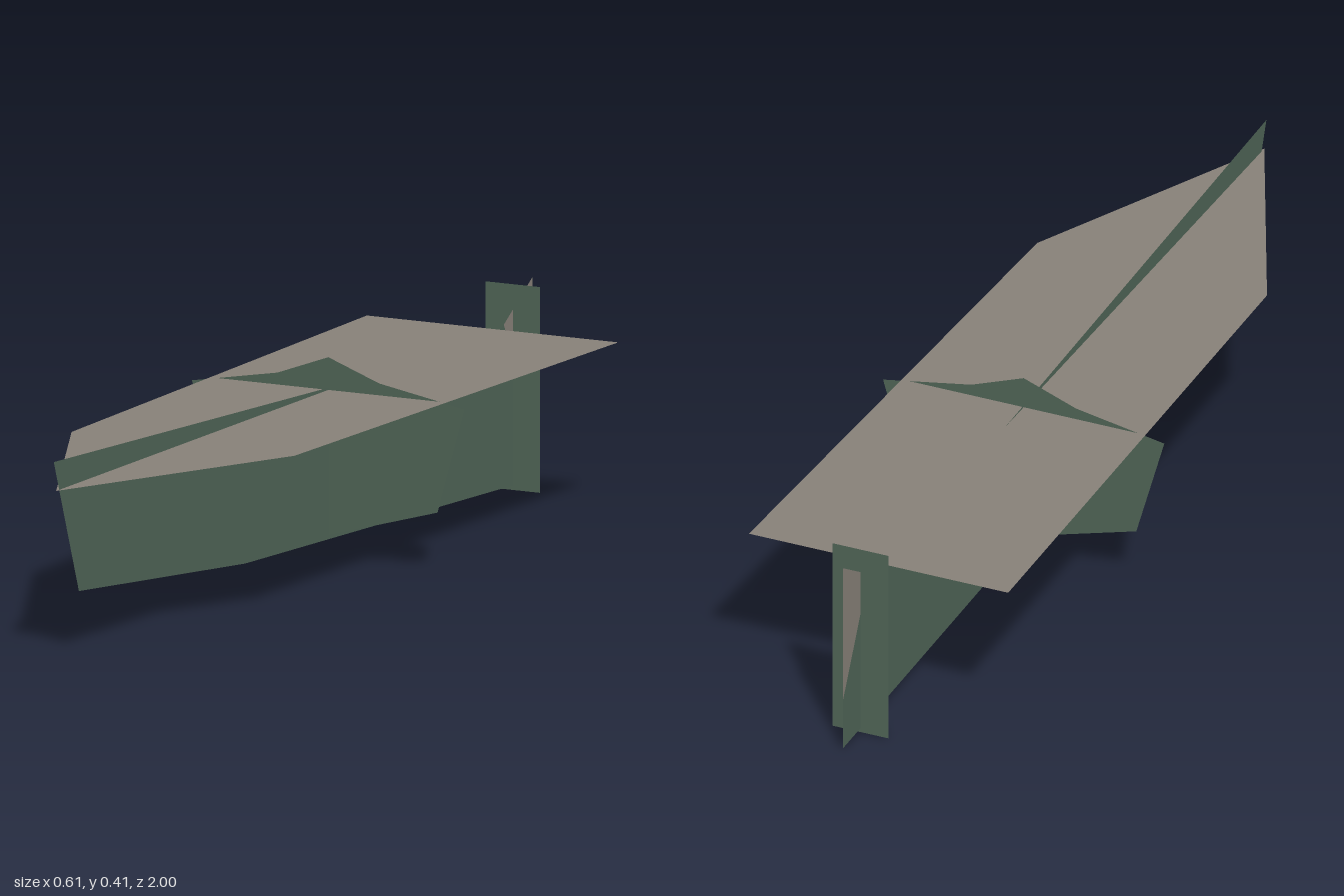
import * as THREE from 'three';

const hullGreen = new THREE.MeshStandardMaterial({ color: 0x50655a, side: THREE.DoubleSide });
hullGreen.name = 'hull green';
hullGreen.color.set(0x4f6456);
const deckTaupe = new THREE.MeshStandardMaterial({ color: 0x878078, side: THREE.DoubleSide });
deckTaupe.name = 'deck taupe';

// Flat sheet cut from an outline of [u, v] points
function sheet(name, points, material) {
  const shape = new THREE.Shape(points.map(([u, v]) => new THREE.Vector2(u, v)));
  const mesh = new THREE.Mesh(new THREE.ShapeGeometry(shape), material);
  mesh.name = name;
  return mesh;
}

// Completes a right-hand outline with its mirror image across u = 0
function mirrored(half) {
  const other = half.filter(([u]) => u > 0).map(([u, v]) => [-u, v]).reverse();
  return [...half, ...other];
}

// Sheet on the centre plane, outlined in [z, y]
function centreSheet(name, points, material) {
  const mesh = sheet(name, points, material);
  mesh.geometry.rotateY(-Math.PI / 2);
  return mesh;
}

export function createModel() {
  const model = new THREE.Group();
  model.name = 'slottedSheetHull';

  // Lengthwise keel profile, notched at the stern for the tail fin
  model.add(centreSheet('keelProfile', [
    [1, 0.4], [0.895, 0.121], [0.2, 0.052], [-1, 0.006],
    [-1, 0.117], [-0.88, 0.34], [-0.835, 0.311],
  ], hullGreen));
  model.add(centreSheet('tailFin', [[-0.88, 0.34], [-1, 0.117], [-1, 0.415]], deckTaupe));

  // Horizontal deck, outlined in [x, z]
  const deck = sheet('deck', mirrored([[0, 0.99], [0.25, 0.46], [0.282, -0.833]]), deckTaupe);
  deck.geometry.rotateX(Math.PI / 2);
  deck.position.y = 0.34;
  model.add(deck);

  // Midship frame across the hull
  const frame = sheet('midshipFrame', mirrored([
    [0, 0.047], [0.245, 0.116], [0.306, 0.33], [0.114, 0.364], [0, 0.406],
  ]), hullGreen);
  frame.position.z = -0.147;
  model.add(frame);

  // Upright cross blade at the stern
  const blade = sheet('sternBlade', mirrored([[0.061, 0], [0.061, 0.415]]), hullGreen);
  blade.position.z = -0.918;
  model.add(blade);

  return model;
}
